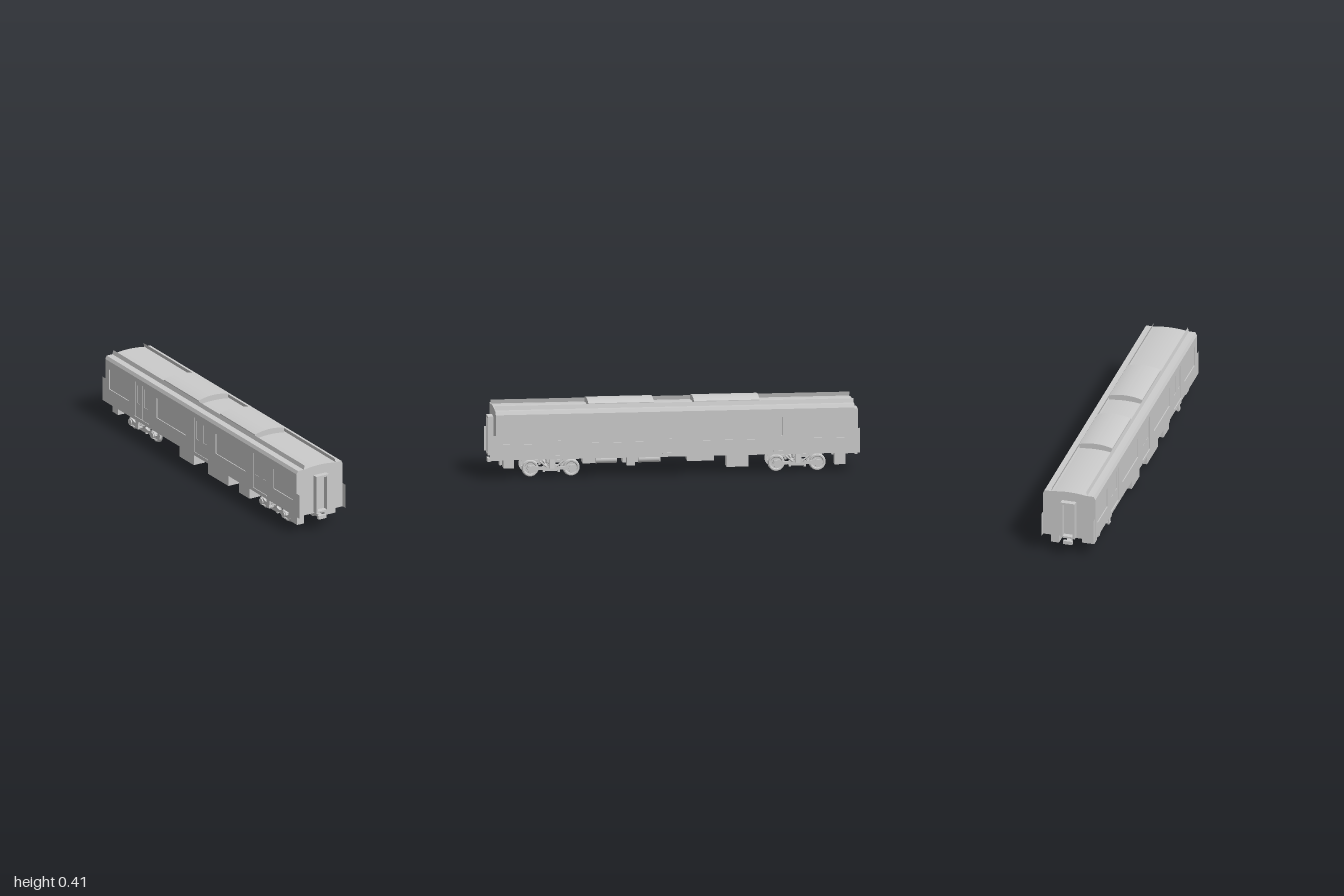
import * as THREE from 'three';
import { toCreasedNormals } from 'three/addons/utils/BufferGeometryUtils.js';

const material = new THREE.MeshStandardMaterial({ color: 0xcccccc });
const thinMaterial = new THREE.MeshStandardMaterial({ color: 0xcccccc, side: THREE.DoubleSide });

function add(parent, name, geometry, x = 0, y = 0, z = 0, mat = material) {
  const mesh = new THREE.Mesh(geometry, mat);
  mesh.name = name;
  mesh.position.set(x, y, z);
  parent.add(mesh);
  return mesh;
}

// Box given by its limits on each axis
function box(parent, name, x0, x1, y0, y1, z0, z1) {
  return add(parent, name, new THREE.BoxGeometry(x1 - x0, y1 - y0, z1 - z0),
    (x0 + x1) / 2, (y0 + y1) / 2, (z0 + z1) / 2);
}

const polygon = (points) => new THREE.Shape(points.map(([a, b]) => new THREE.Vector2(a, b)));
const rect = (a0, a1, b0, b1) => polygon([[a0, b0], [a1, b0], [a1, b1], [a0, b1]]);

// Cross-section (x, y) extruded along the carriage
function along(parent, name, shape, z0, z1) {
  const g = new THREE.ExtrudeGeometry(shape, { depth: z1 - z0, bevelEnabled: false, curveSegments: 16 });
  return add(parent, name, toCreasedNormals(g, 0.3), 0, 0, z0);
}

// Side profile (z, y) extruded across, between x0 and x1 on the given side
function across(parent, name, shape, x0, x1, side, z = 0) {
  const g = new THREE.ExtrudeGeometry(shape, { depth: x1 - x0, bevelEnabled: false });
  g.rotateY(-Math.PI / 2);
  return add(parent, name, g, side > 0 ? x1 : -x0, 0, z);
}

function cylinderX(parent, name, r, length, x, y, z, sides = 20) {
  const g = new THREE.CylinderGeometry(r, r, length, sides).rotateZ(Math.PI / 2);
  return add(parent, name, g, x, y, z);
}

const DOORS = [-0.6, 0, 0.6];
const WINDOWS = [[-0.93, -0.735], [-0.45, -0.15], [0.15, 0.45], [0.735, 0.93]];

function buildBody(model) {
  const body = new THREE.Group();
  body.name = 'body';
  model.add(body);

  // Core with arched roof; the side skins lie over it
  const section = polygon([[-0.141, 0.105], [0.141, 0.105], [0.141, 0.352], [0.146, 0.352],
    [0.138, 0.37], [0.095, 0.37]]);
  section.quadraticCurveTo(0, 0.386, -0.095, 0.37);
  section.lineTo(-0.138, 0.37);
  section.lineTo(-0.146, 0.352);
  section.lineTo(-0.141, 0.352);
  along(body, 'bodyShell', section, -0.97, 0.97);

  for (const side of [-1, 1]) {
    // Side skin with window and door openings
    const skin = rect(-0.97, 0.97, 0.105, 0.352);
    for (const [a, b] of WINDOWS) skin.holes.push(rect(a, b, 0.19, 0.305));
    for (const z of DOORS) skin.holes.push(rect(z - 0.07, z + 0.07, 0.125, 0.325));
    across(body, 'sideSkin', skin, 0.141, 0.146, side);

    // Sliding door leaves and sills
    for (const z of DOORS) {
      for (const s of [-1, 1]) {
        const a = s < 0 ? -0.07 : 0.001;
        const leaf = rect(a, a + 0.069, 0.125, 0.325);
        leaf.holes.push(rect(a + 0.017, a + 0.052, 0.205, 0.308));
        across(body, 'doorLeaf', leaf, 0.14, 0.143, side, z);
      }
      box(body, 'doorSill', side * 0.1475 - 0.0015, side * 0.1475 + 0.0015, 0.122, 0.127, z - 0.07, z + 0.07);
    }

    // Thin plates carrying the lower sides past the ends
    for (const end of [-1, 1]) {
      const plate = new THREE.PlaneGeometry(0.03, 0.135).rotateY(Math.PI / 2);
      add(body, 'endPlate', plate, side * 0.1455, 0.1725, end * 0.985, thinMaterial);
    }

    // Rain strip standing beside the roof arch
    const strip = new THREE.PlaneGeometry(0.024, 1.94).rotateX(Math.PI / 2).rotateZ(side * 1.83);
    add(body, 'rainStrip', strip, side * 0.098, 0.381, 0, thinMaterial);
  }

  // Roof units
  for (const [z0, z1] of [[0.108, 0.463], [-0.463, -0.108]]) {
    const unit = polygon([[-0.092, 0.368], [0.092, 0.368], [0.092, 0.396]]);
    unit.quadraticCurveTo(0.05, 0.41, 0, 0.41);
    unit.quadraticCurveTo(-0.05, 0.41, -0.092, 0.396);
    along(body, 'roofUnit', unit, z0, z1);
  }
}

// Open gangway frame and coupler, built for the front end
function buildEnd(model, end) {
  const group = new THREE.Group();
  group.name = end > 0 ? 'frontEnd' : 'backEnd';
  group.rotation.y = end > 0 ? 0 : Math.PI;
  model.add(group);
  const frame = rect(-0.04, 0.04, 0.112, 0.325);
  frame.holes.push(rect(-0.028, 0.028, 0.122, 0.313));
  along(group, 'gangwayFrame', frame, 0.969, 1);
  box(group, 'couplerBar', -0.012, 0.012, 0.076, 0.092, 0.9, 0.985);
  box(group, 'couplerHead', -0.025, 0.025, 0.074, 0.094, 0.985, 1);
  box(group, 'couplerBracket', -0.02, 0.02, 0.088, 0.106, 0.9, 0.93);
  box(group, 'wideEndBox', 0.06, 0.127, 0.057, 0.106, 0.87, 0.925);
  box(group, 'narrowEndBox', -0.115, -0.07, 0.037, 0.106, 0.865, 0.925);
}

function buildUnderfloor(model) {
  const group = new THREE.Group();
  group.name = 'underfloorEquipment';
  model.add(group);
  const boxes = [
    [-0.135, -0.065, 0.038, 0.37, 0.475],
    [-0.135, -0.065, 0.038, 0.055, 0.26],
    [-0.135, -0.065, 0.038, -0.235, -0.09],
    [0.05, 0.125, 0.038, -0.4, -0.28],
    [0.045, 0.09, 0.05, 0.21, 0.255],
  ];
  for (const [x0, x1, y0, z0, z1] of boxes) box(group, 'equipmentBox', x0, x1, y0, 0.106, z0, z1);
  for (const z of [0.135, 0.365]) {
    const tank = new THREE.CylinderGeometry(0.021, 0.021, 0.112, 20).rotateX(Math.PI / 2);
    add(group, 'airTank', tank, 0.072, 0.085, z);
  }
}

function buildBogie(model, zCentre) {
  const bogie = new THREE.Group();
  bogie.name = 'bogie';
  bogie.position.z = zCentre;
  model.add(bogie);
  const base = 0.111;

  // Flanged wheels, profile runs from the inner face outwards
  const profile = [[0, -0.006], [0.03, -0.005], [0.034, -0.008], [0.046, -0.007], [0.046, -0.004],
    [0.042, -0.001], [0.041, 0.008], [0.034, 0.008], [0.03, 0.004], [0.012, 0.004], [0.012, 0.009], [0, 0.009]];
  const points = profile.map(([r, h]) => new THREE.Vector2(r, h));
  for (const z of [-base, base]) {
    cylinderX(bogie, 'axle', 0.008, 0.2, 0, 0.046, z, 14);
    for (const side of [-1, 1]) {
      const wheel = toCreasedNormals(new THREE.LatheGeometry(points, 28), 0.5).rotateZ(-side * Math.PI / 2);
      add(bogie, 'wheel', wheel, side * 0.078, 0.046, z);
      cylinderX(bogie, 'axleBox', 0.017, 0.022, side * 0.102, 0.046, z, 16);
      box(bogie, 'axleBoxFoot', side * 0.102 - 0.008, side * 0.102 + 0.008, 0.026, 0.04, z - 0.01, z + 0.01);
    }
  }

  // Cross members and pivot
  box(bogie, 'bolster', -0.12, 0.12, 0.086, 0.1, -0.028, 0.028);
  box(bogie, 'transom', -0.1, 0.1, 0.04, 0.058, -0.025, 0.025);
  add(bogie, 'pivot', new THREE.CylinderGeometry(0.02, 0.02, 0.055, 16), 0, 0.08, 0);

  // Dropped side frames with arms reaching the axle boxes
  const half = [[0.03, 0.034], [0.055, 0.042], [0.088, 0.036], [0.126, 0.036], [0.134, 0.046],
    [0.126, 0.064], [0.096, 0.066], [0.072, 0.056], [0.048, 0.058], [0.034, 0.068]];
  const outline = [...half, ...half.map(([z, y]) => [-z, y]).reverse()];
  for (const side of [-1, 1]) {
    across(bogie, 'sideFrame', polygon(outline), 0.093, 0.107, side);
    // Spring pack
    for (const y of [0.069, 0.077, 0.085]) {
      add(bogie, 'springRing', new THREE.CylinderGeometry(0.021, 0.021, 0.005, 18), side * 0.1, y, 0);
    }
    add(bogie, 'springCore', new THREE.CylinderGeometry(0.016, 0.016, 0.026, 18), side * 0.1, 0.077, 0);
    // Outer hangers and dampers
    const hanger = box(bogie, 'hanger', side * 0.132 - 0.005, side * 0.132 + 0.005, 0.052, 0.105, -0.014, 0.014);
    hanger.rotation.z = side * 0.1;
    box(bogie, 'hangerArm', side * 0.118 - 0.014, side * 0.118 + 0.014, 0.054, 0.062, -0.012, 0.012);
    for (const s of [-1, 1]) {
      const strut = add(bogie, 'damper', new THREE.CylinderGeometry(0.005, 0.005, 0.05, 10), side * 0.112, 0.074, s * 0.045);
      strut.rotation.x = s * 0.9;
      box(bogie, 'bracket', side * 0.1 - 0.006, side * 0.1 + 0.006, 0.028, 0.044, s * 0.04 - 0.006, s * 0.04 + 0.006);
    }
  }
}

export function createModel() {
  const model = new THREE.Group();
  model.name = 'railwayCarriage';
  buildBody(model);
  buildUnderfloor(model);
  for (const end of [-1, 1]) {
    buildEnd(model, end);
    buildBogie(model, end * 0.665);
  }
  return model;
}
